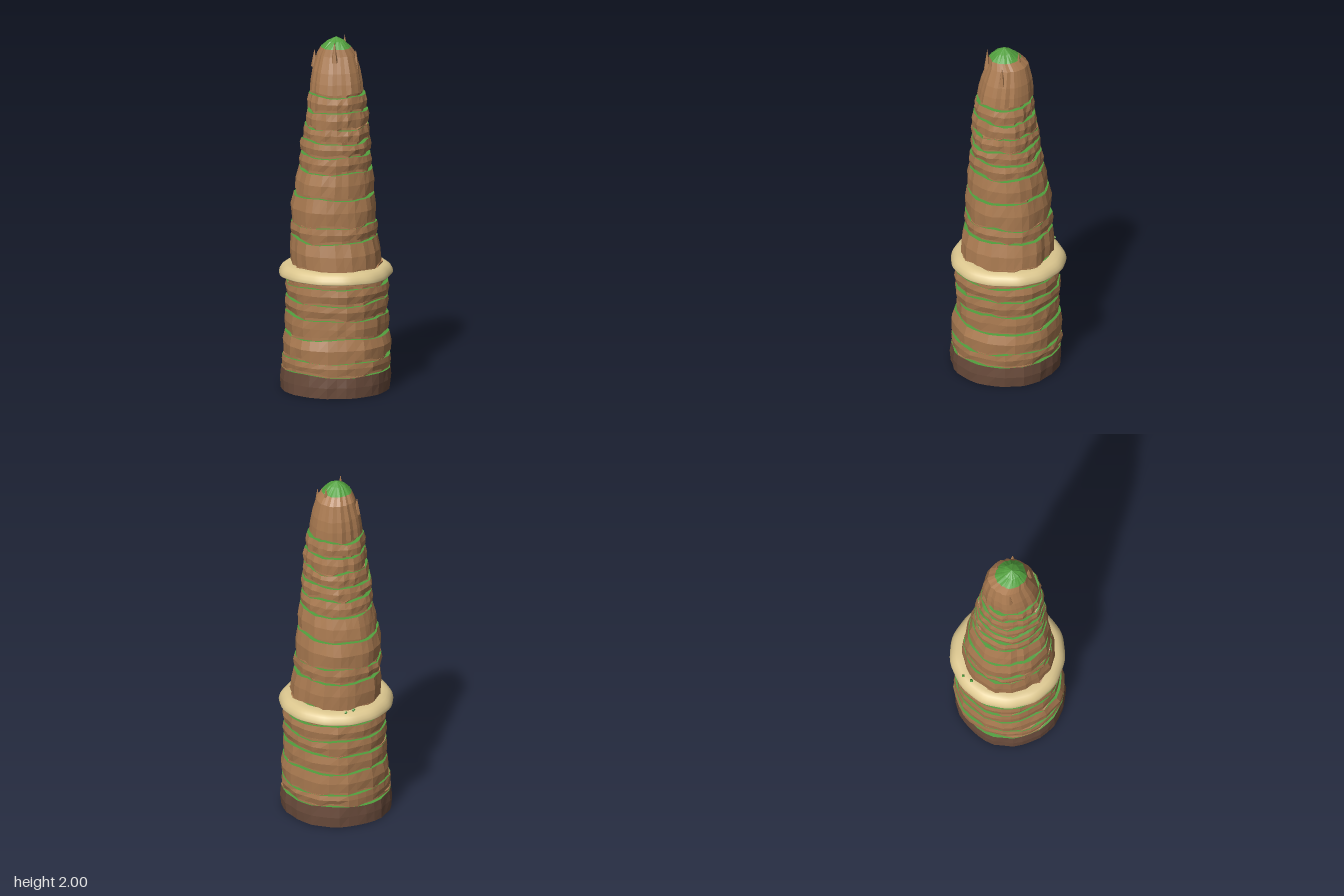
import * as THREE from 'three';
import { mergeVertices } from 'three/addons/utils/BufferGeometryUtils.js';

const mat = (name, color) => Object.assign(new THREE.MeshStandardMaterial({ color }), { name });

const N = 36;
const TAU = Math.PI * 2;

// Repeatable noise in -1..1
function hash(i, j) {
  const s = Math.sin(i * 127.1 + j * 311.7 + 4.2) * 43758.5453;
  return (s - Math.floor(s)) * 2 - 1;
}
// Smooth noise around the spire, different for every seed
function wave(a, seed) {
  return (Math.sin(a * 2 + seed * 2.1) + Math.sin(a * 3 + seed * 4.7) + Math.sin(a * 5 + seed * 1.3)) / 3;
}

// Overall taper: height, radius, centre x, centre z
const PROFILE = [
  [0, .303, -.01, .01], [.25, .301, -.003, .01], [.36, .285, 0, 0], [.6, .288, 0, .01],
  [.71, .257, -.005, .005], [.87, .241, -.01, -.008], [1.05, .234, -.015, -.01],
  [1.25, .204, -.008, .003], [1.45, .184, -.01, .016], [1.67, .158, -.008, .02],
  [1.8, .138, -.003, .01], [1.9, .109, 0, .004], [1.94, .085, -.01, .015], [2, .07, -.012, .02],
];
function profileAt(y) {
  let k = 0;
  while (k < PROFILE.length - 2 && y > PROFILE[k + 1][0]) k++;
  const p = PROFILE[k], q = PROFILE[k + 1];
  const t = THREE.MathUtils.clamp((y - p[0]) / (q[0] - p[0]), 0, 1);
  return p.map((v, i) => v + (q[i] - v) * t);
}
function point(a, y, offset, dy = 0) {
  const [, r, cx, cz] = profileAt(y);
  return [cx + (r + offset) * Math.sin(a), y + dy, cz + (r + offset) * Math.cos(a)];
}
function ring(fn) {
  return Array.from({ length: N }, (_, i) => fn(i, i / N * TAU));
}
// Flat-faced wall between two rings
function band(out, low, high) {
  for (let i = 0; i < N; i++) {
    const j = (i + 1) % N;
    out.push(...low[i], ...low[j], ...high[j], ...low[i], ...high[j], ...high[i]);
  }
}
function fan(out, loop, centre, flip) {
  for (let i = 0; i < N; i++) {
    const j = (i + 1) % N;
    out.push(...loop[flip ? j : i], ...loop[flip ? i : j], ...centre);
  }
}

export function createModel() {
  const group = new THREE.Group();
  const rock = mat('rock brown', 0xac7c52);
  const dark = mat('dark base brown', 0x6b4c3c);
  const under = mat('underside brown', 0x3a2d28);
  const moss = mat('moss green', 0x52a03e);
  const sand = mat('sand', 0xdcc78f);

  const add = (name, geometry, material) => {
    const mesh = new THREE.Mesh(geometry, material);
    mesh.name = name;
    group.add(mesh);
    return mesh;
  };
  const addFaces = (name, positions, material) => {
    const g = new THREE.BufferGeometry();
    g.setAttribute('position', new THREE.Float32BufferAttribute(positions, 3));
    g.computeVertexNormals();
    return add(name, g, material);
  };

  // Stacked strata: seam height and share of the seam that is open
  const seams = [[.12, .5], [.195, .55], [.32, .85], [.43, .75], [.52, .8], [.61, .7], [.70, .6], [.86, .85],
    [.945, .5], [1.105, .95], [1.25, .8], [1.34, .8], [1.42, .75], [1.50, .6], [1.59, .8], [1.68, .9]];
  const faces = { base: [], strata: [], ledges: [], bottom: [], cap: [] };
  const bulge = (i, a, layer) =>
    .006 * wave(a, 1) + .005 * wave(a, layer + 3) + .0055 * hash(i, layer);
  const seamLift = (a, s) => .009 * wave(a, s + 20);

  let low = ring((i, a) => point(a, 0, bulge(i, a, 0)));
  fan(faces.bottom, low, [0, 0, 0], true);
  seams.forEach(([y, open], s) => {
    const wall = s === 0 ? faces.base : faces.strata;
    const yLow = s ? seams[s - 1][0] + .018 : 0;
    const mid = ring((i, a) => point(a, (yLow + y) / 2, bulge(i, a, s) + .004 + .003 * hash(i, s + 50)));
    const top = ring((i, a) => point(a, y, bulge(i, a, s), seamLift(a, s)));
    band(wall, low, mid);
    band(wall, mid, top);

    // Notch: mossy floor, back wall and overhang of the stratum above
    const depth = ring((i, a) =>
      THREE.MathUtils.clamp((wave(a * 2, s + 9) + hash(i, s + 80) * .3 + open * 2 - .75) * .03, .001, .024));
    const back = ring((i, a) => point(a, y, bulge(i, a, s) - depth[i], seamLift(a, s)));
    const roof = ring((i, a) => point(a, y, bulge(i, a, s) - depth[i],
      seamLift(a, s) + .004 + Math.min(.014, depth[i])));
    band(faces.ledges, top, back);
    band(faces.strata, back, roof);
    low = ring((i, a) => point(a, y + .018, bulge(i, a, s + 1) - .003,
      seamLift(a, s) - .014 + Math.min(.014, depth[i])));
    band(faces.strata, roof, low);
  });

  // Rounded shoulder
  [1.75, 1.81, 1.9, 1.94].forEach((y, k) => {
    const next = ring((i, a) => point(a, y, bulge(i, a, 16) * (1 - k * .12)));
    band(faces.strata, low, next);
    low = next;
  });
  // Moss summit
  const crown = ring((i, a) => [-.012 + (.045 + .004 * hash(i, 99)) * Math.sin(a), 1.976,
    .02 + (.045 + .004 * hash(i, 99)) * Math.cos(a)]);
  band(faces.cap, low, crown);
  fan(faces.cap, crown, [-.012, 2, .02], false);

  addFaces('darkBase', faces.base, dark);
  addFaces('underside', faces.bottom, under);
  addFaces('rockStrata', faces.strata, rock);
  addFaces('mossLedges', faces.ledges, moss);
  addFaces('mossCap', faces.cap, moss);

  // Sandy collar with an uneven rim
  const section = [[.235, .655], [.305, .65], [.316, .645], [.319, .65], [.315, .668], [.303, .687],
    [.285, .7], [.262, .706], [.235, .706]].map(([r, y]) => new THREE.Vector2(r, y));
  let collar = new THREE.LatheGeometry(section, 72);
  const p = collar.attributes.position;
  for (let i = 0; i < p.count; i++) {
    const a = Math.atan2(p.getX(i), p.getZ(i));
    const dent = Math.exp(-(((a - .72) / .3) ** 2));
    const k = 1 + .012 * wave(a, 7) + .006 * Math.sin(a * 13) - .035 * dent;
    p.setXYZ(i, p.getX(i) * k, p.getY(i) + .004 * wave(a, 2), p.getZ(i) * k);
  }
  collar.deleteAttribute('uv');
  collar.deleteAttribute('normal');
  collar = mergeVertices(collar, 1e-5);
  collar.computeVertexNormals();
  add('sandCollar', collar, sand);

  // Pointed stones around the summit: x, z, base height, tip height
  [[.068, -.02, 1.89, 1.99], [-.068, .095, 1.87, 1.99], [.068, .1, 1.82, 1.93], [-.095, -.075, 1.82, 1.92]]
    .forEach(([x, z, y0, y1], i) => {
      const stone = add('summitStone', new THREE.ConeGeometry(.02, y1 - y0, 5).toNonIndexed(), rock);
      stone.geometry.computeVertexNormals();
      stone.position.set(x, (y0 + y1) / 2, z);
      stone.rotation.y = i * 1.3;
    });

  // Small moss tufts on the back of the collar
  [[.008, -.268, .012], [.06, -.282, .01]].forEach(([x, z, r]) => {
    add('mossTuft', new THREE.OctahedronGeometry(r), moss).position.set(x, .71, z);
  });

  return group;
}
